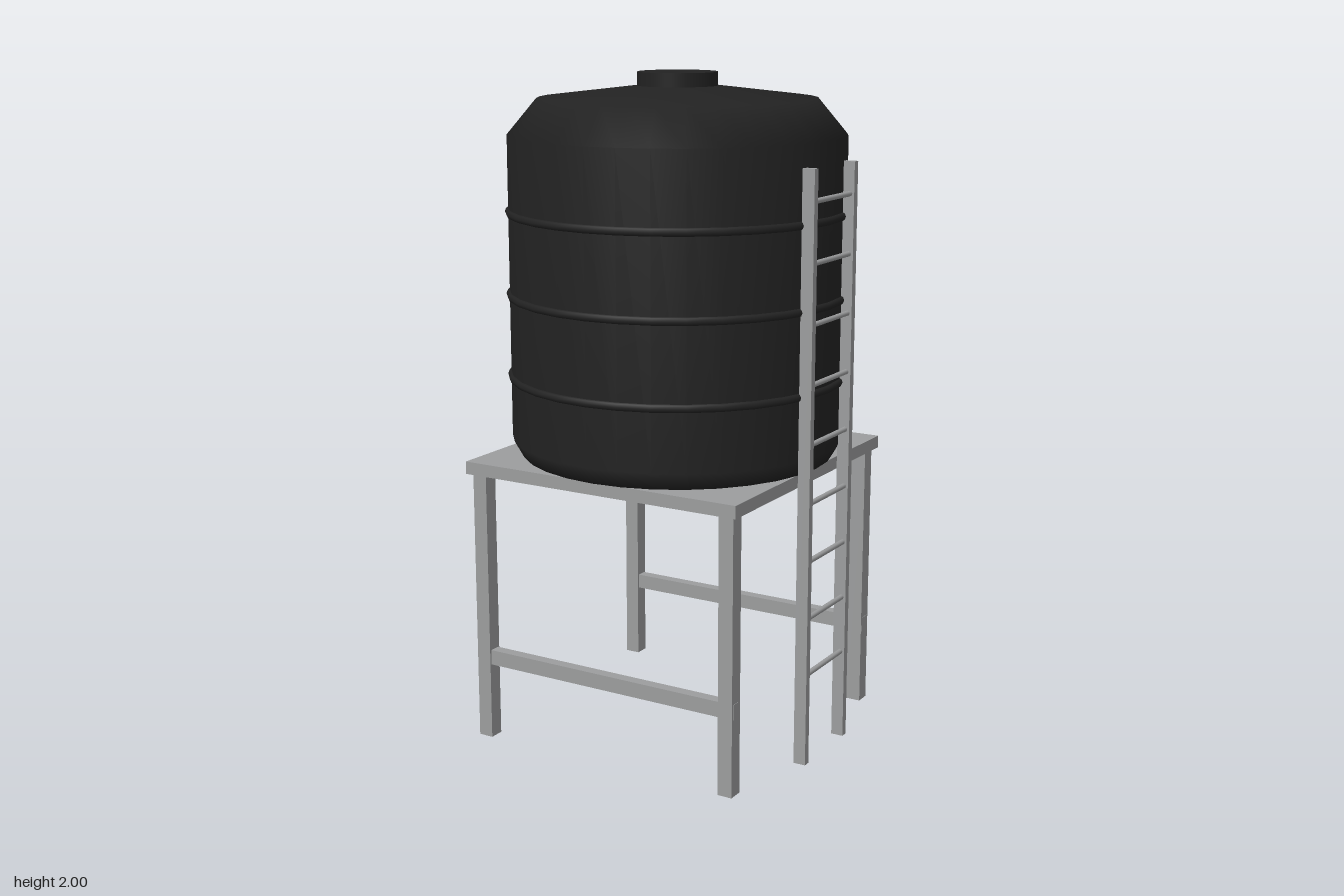
import * as THREE from 'three';

export function createModel() {
  const model = new THREE.Group();
  const plastic = new THREE.MeshStandardMaterial({ color: 0x222222 });
  plastic.name = 'black plastic';
  const steel = new THREE.MeshStandardMaterial({ color: 0x9c9d9e });
  steel.name = 'grey steel';
  const CX = -0.006; // axis of tank and stand

  function add(name, geometry, material, x, y, z) {
    const mesh = new THREE.Mesh(geometry, material);
    mesh.name = name;
    mesh.position.set(x, y, z);
    model.add(mesh);
    return mesh;
  }
  const box = (name, w, h, d, x, y, z) =>
    add(name, new THREE.BoxGeometry(w, h, d), steel, x, y, z);

  // Tank body: chamfered base, straight wall, sloping shoulder and shallow roof
  const profile = [
    [0, 0.869], [0.472, 0.869], [0.5, 0.92], [0.5, 1.82], [0.412, 1.925], [0.12, 1.96], [0, 1.965],
  ].map(([r, y]) => new THREE.Vector2(r, y));
  add('tankBody', new THREE.LatheGeometry(profile, 32), plastic, CX, 0, 0);

  // Reinforcing rings
  for (const y of [1.108, 1.352, 1.596]) {
    const ring = add('tankRing', new THREE.TorusGeometry(0.497, 0.013, 8, 32), plastic, CX, y, 0);
    ring.rotation.x = Math.PI / 2;
  }

  // Filler lid
  add('lid', new THREE.CylinderGeometry(0.118, 0.118, 0.05, 32), plastic, CX, 1.975, 0);

  // Stand: platform, four legs, and a low brace at front and back
  box('platform', 0.916, 0.038, 0.916, CX, 0.849, 0);
  for (const sz of [1, -1]) {
    for (const sx of [1, -1]) box('leg', 0.046, 0.832, 0.046, CX + sx * 0.42, 0.416, sz * 0.42);
    box('brace', 0.888, 0.046, 0.034, CX, 0.257, sz * 0.42);
  }

  // Ladder on the left side
  for (const sz of [1, -1]) box('ladderRail', 0.038, 1.755, 0.022, 0.495, 0.8775, sz * 0.126);
  for (let i = 0; i < 9; i++) {
    const rung = add('ladderRung', new THREE.CylinderGeometry(0.008, 0.008, 0.266, 8), steel,
      0.5, 0.273 + i * 0.1737, 0);
    rung.rotation.x = Math.PI / 2;
  }
  return model;
}
